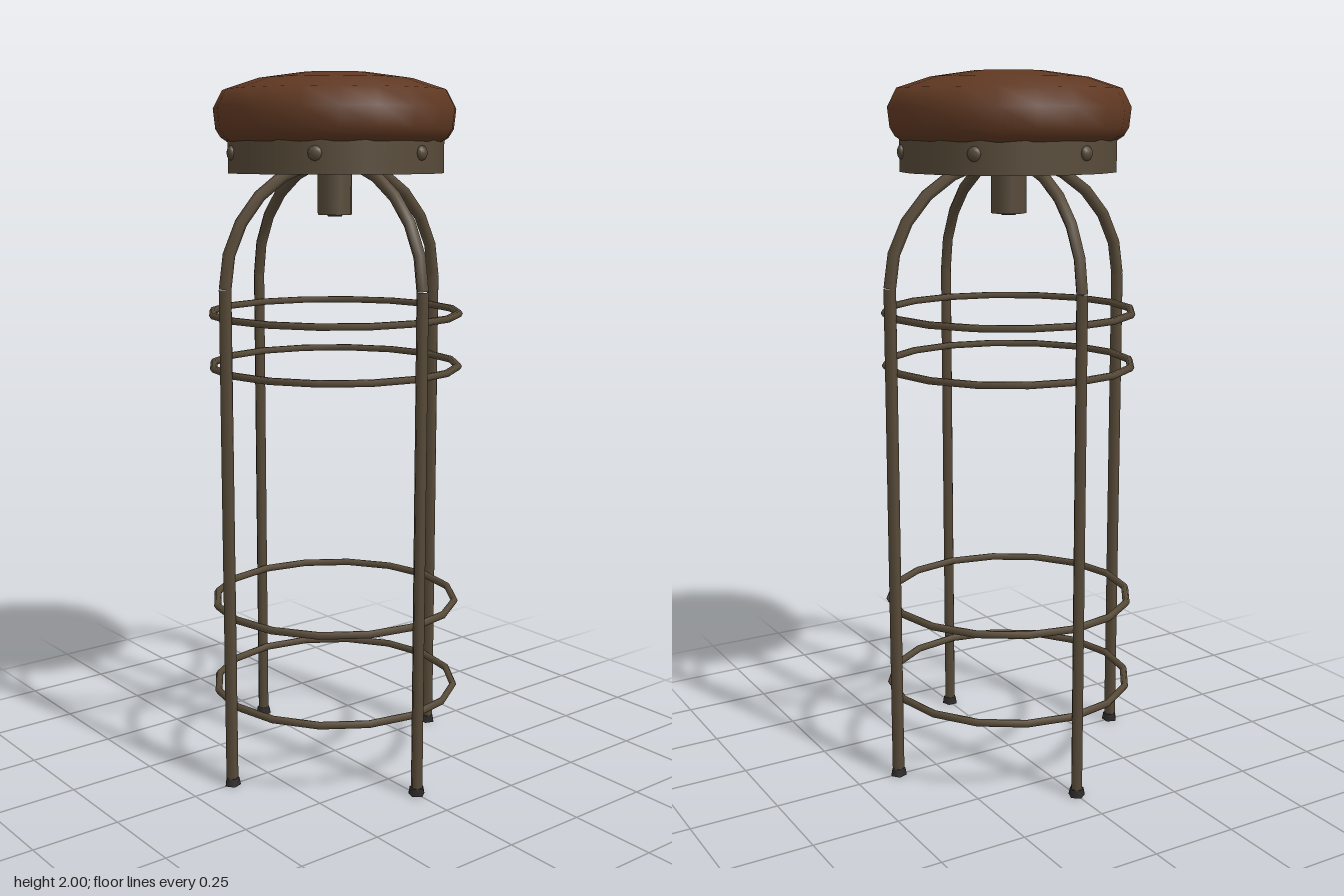
import * as THREE from 'three';

const mat = (name, color) => {
  const m = new THREE.MeshStandardMaterial({ color });
  m.name = name;
  return m;
};
const V2 = (p) => new THREE.Vector2(p[0], p[1]);

export function createModel() {
  const root = new THREE.Group();
  root.name = 'barStool';
  const leather = mat('brown leather', 0x5f3822);
  const metal = mat('aged bronze metal', 0x574a38);
  const rubber = mat('dark rubber', 0x2c2a28);
  const steel = mat('dark blue steel', 0x343842);

  const add = (name, geo, material, x = 0, y = 0, z = 0, parent = root) => {
    const mesh = new THREE.Mesh(geo, material);
    mesh.name = name;
    mesh.position.set(x, y, z);
    parent.add(mesh);
    return mesh;
  };
  const lathe = (pts, n) => new THREE.LatheGeometry(pts.map(V2), n);

  // Padded seat: domed top, and a separate flat underside
  add('cushion', lathe([[0.3, 1.81], [0.318, 1.822], [0.332, 1.845], [0.338, 1.9],
    [0.312, 1.95], [0.22, 1.98], [0.1, 1.997], [0, 2.0]], 20), leather);
  add('cushionUnderside', lathe([[0, 1.81], [0.3, 1.81]], 20), leather);

  // Metal band below the seat: outer face, bottom lip, dark lining
  add('seatBand', lathe([[0.304, 1.725], [0.304, 1.825]], 16), metal);
  add('bandLip', lathe([[0.288, 1.725], [0.304, 1.725]], 16), metal);
  add('bandLining', lathe([[0.288, 1.815], [0.288, 1.725]], 16), steel);

  // Rivets around the band
  for (let i = 0; i < 6; i++) {
    const a = THREE.MathUtils.degToRad(12 + i * 60);
    const rivet = add('rivet', new THREE.SphereGeometry(0.02, 8, 6), metal,
      Math.sin(a) * 0.301, 1.78, Math.cos(a) * 0.301);
    rivet.rotation.y = a;
    rivet.scale.z = 0.6;
  }

  // Swivel hub with mounting plate and bolt
  add('hub', new THREE.CylinderGeometry(0.05, 0.05, 0.18, 8), metal, 0, 1.7, 0).rotation.y = Math.PI / 8;
  add('mountingPlate', new THREE.BoxGeometry(0.24, 0.02, 0.24), steel, 0, 1.798, 0).rotation.y = Math.PI / 4;
  add('hubBolt', new THREE.CylinderGeometry(0.024, 0.02, 0.008, 6), rubber, 0, 1.609, 0);

  // Two crossing arches, each giving a pair of legs with rubber feet
  const legX = 0.374, bendY = 1.42;
  for (let k = 0; k < 2; k++) {
    const frame = new THREE.Group();
    frame.name = 'legArch';
    frame.rotation.y = k * Math.PI / 2;
    root.add(frame);
    const pts = [];
    for (let i = 0; i <= 12; i++) {
      const a = Math.PI * i / 12;
      pts.push(new THREE.Vector3(Math.cos(a) * legX, bendY + Math.sin(a) * 0.34, 0));
    }
    add('archTop', new THREE.TubeGeometry(new THREE.CatmullRomCurve3(pts), 12, 0.017, 6), metal, 0, 0, 0, frame);
    for (const s of [-1, 1]) {
      add('leg', new THREE.CylinderGeometry(0.017, 0.017, bendY - 0.01, 6, 1, true), metal,
        s * legX, (bendY + 0.01) / 2, 0, frame);
      add('foot', new THREE.CylinderGeometry(0.02, 0.024, 0.022, 5), rubber, s * legX, 0.011, 0, frame)
        .rotation.y = s * Math.PI / 2;
    }
  }

  // Footrest hoops
  for (const y of [0.23, 0.49, 1.185, 1.335]) {
    add('footrestRing', new THREE.TorusGeometry(0.353, 0.0105, 6, 16), metal, 0, y, 0).rotation.x = Math.PI / 2;
  }
  return root;
}
